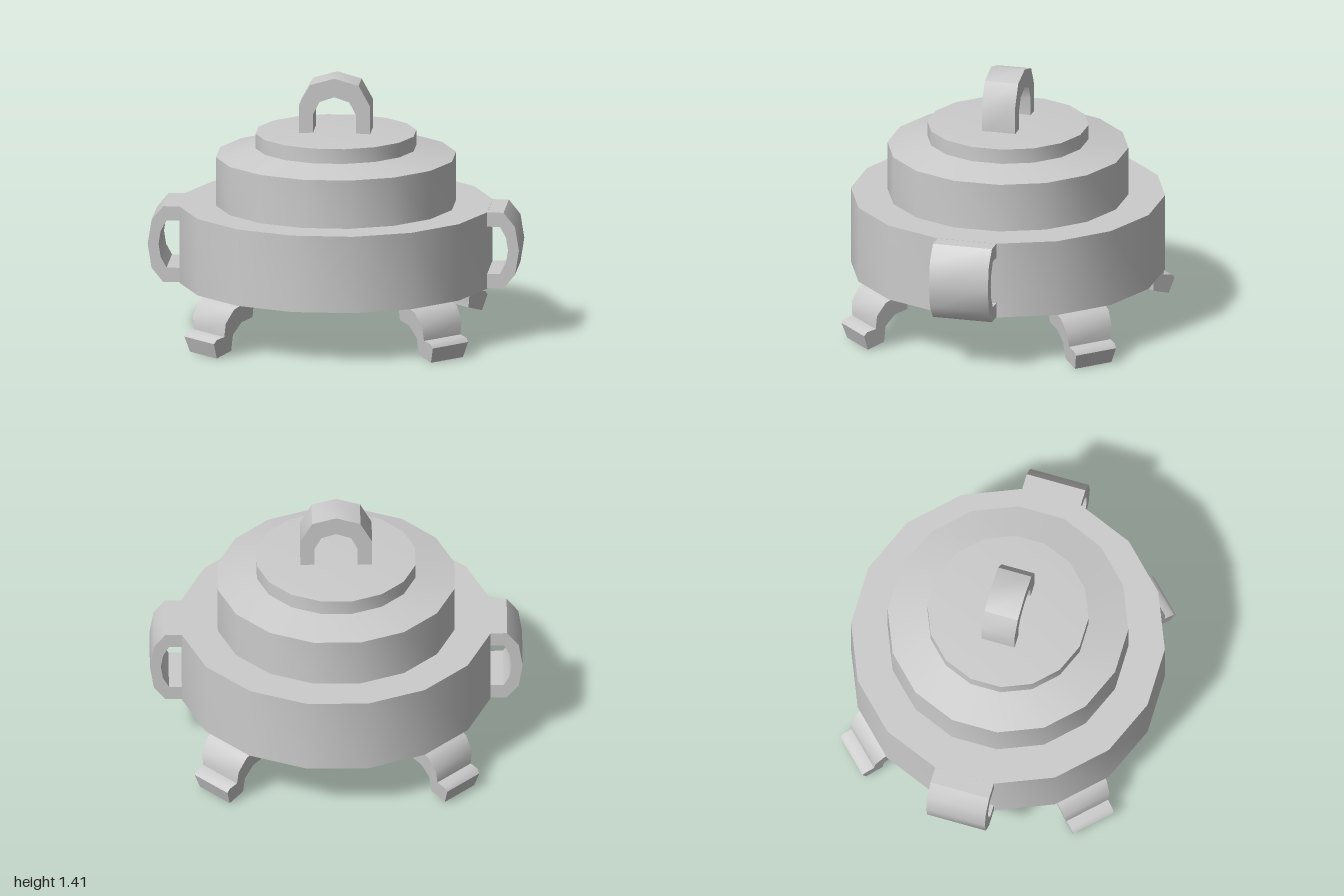
import * as THREE from 'three';
import { toCreasedNormals } from 'three/addons/utils/BufferGeometryUtils.js';

const material = new THREE.MeshStandardMaterial({ color: 0xcccccc });
const CREASE = 0.75;

function part(name, geometry) {
  const mesh = new THREE.Mesh(toCreasedNormals(geometry, CREASE), material);
  mesh.name = name;
  return mesh;
}

// 16-sided turned form with a flat side facing front
function turned(name, profile) {
  const points = profile.map(([r, y]) => new THREE.Vector2(r, y));
  return part(name, new THREE.LatheGeometry(points, 16, Math.PI / 16));
}

// Side profile extruded to a width, centred on z
function slab(profile, width) {
  const shape = new THREE.Shape(profile.map(([x, y]) => new THREE.Vector2(x, y)));
  const geometry = new THREE.ExtrudeGeometry(shape, { depth: width, bevelEnabled: false });
  return geometry.translate(0, 0, -width / 2);
}

export function createModel() {
  const group = new THREE.Group();

  // Stepped pot body and lid
  group.add(turned('body', [[0, 0.285], [0.845, 0.285], [0.845, 0.705], [0.64, 0.705]]));
  group.add(turned('upperBody', [[0.648, 0.70], [0.648, 0.97], [0.43, 1.015]]));
  group.add(turned('lid', [[0.434, 1.01], [0.434, 1.095], [0, 1.115]]));

  // Arched loop on the lid
  const loop = slab([
    [-0.192, 1.09], [-0.115, 1.09], [-0.115, 1.21], [-0.08, 1.278], [0, 1.305],
    [0.08, 1.278], [0.115, 1.21], [0.115, 1.09], [0.192, 1.09], [0.192, 1.257],
    [0.13, 1.37], [0, 1.407], [-0.13, 1.37], [-0.192, 1.257],
  ], 0.186);
  group.add(part('lidLoop', loop));

  // C-shaped side handles
  const handle = slab([
    [0.8, 0.288], [0.917, 0.288], [0.979, 0.364], [1, 0.497], [0.979, 0.626],
    [0.917, 0.704], [0.8, 0.704], [0.8, 0.626], [0.898, 0.626], [0.93, 0.567],
    [0.941, 0.497], [0.93, 0.425], [0.898, 0.367], [0.8, 0.367],
  ], 0.328);
  ['leftHandle', 'rightHandle'].forEach((name, i) => {
    const mesh = part(name, handle);
    mesh.rotation.y = i * Math.PI;
    group.add(mesh);
  });

  // Curved legs with a stepped foot, narrowing toward the ground
  const leg = slab([
    [0.928, 0], [0.957, 0.085], [0.94, 0.106], [0.888, 0.115], [0.886, 0.19],
    [0.835, 0.262], [0.76, 0.29], [0.7, 0.29], [0.7, 0.2], [0.775, 0.182],
    [0.828, 0.12], [0.83, 0.03],
  ], 2);
  const pos = leg.attributes.position;
  for (let i = 0; i < pos.count; i++) {
    pos.setZ(i, pos.getZ(i) * (0.112 + 0.133 * pos.getY(i)));
  }
  ['backLeftLeg', 'backRightLeg', 'frontRightLeg', 'frontLeftLeg'].forEach((name, i) => {
    const mesh = part(name, leg);
    mesh.rotation.y = Math.PI / 4 + i * Math.PI / 2;
    group.add(mesh);
  });

  return group;
}
